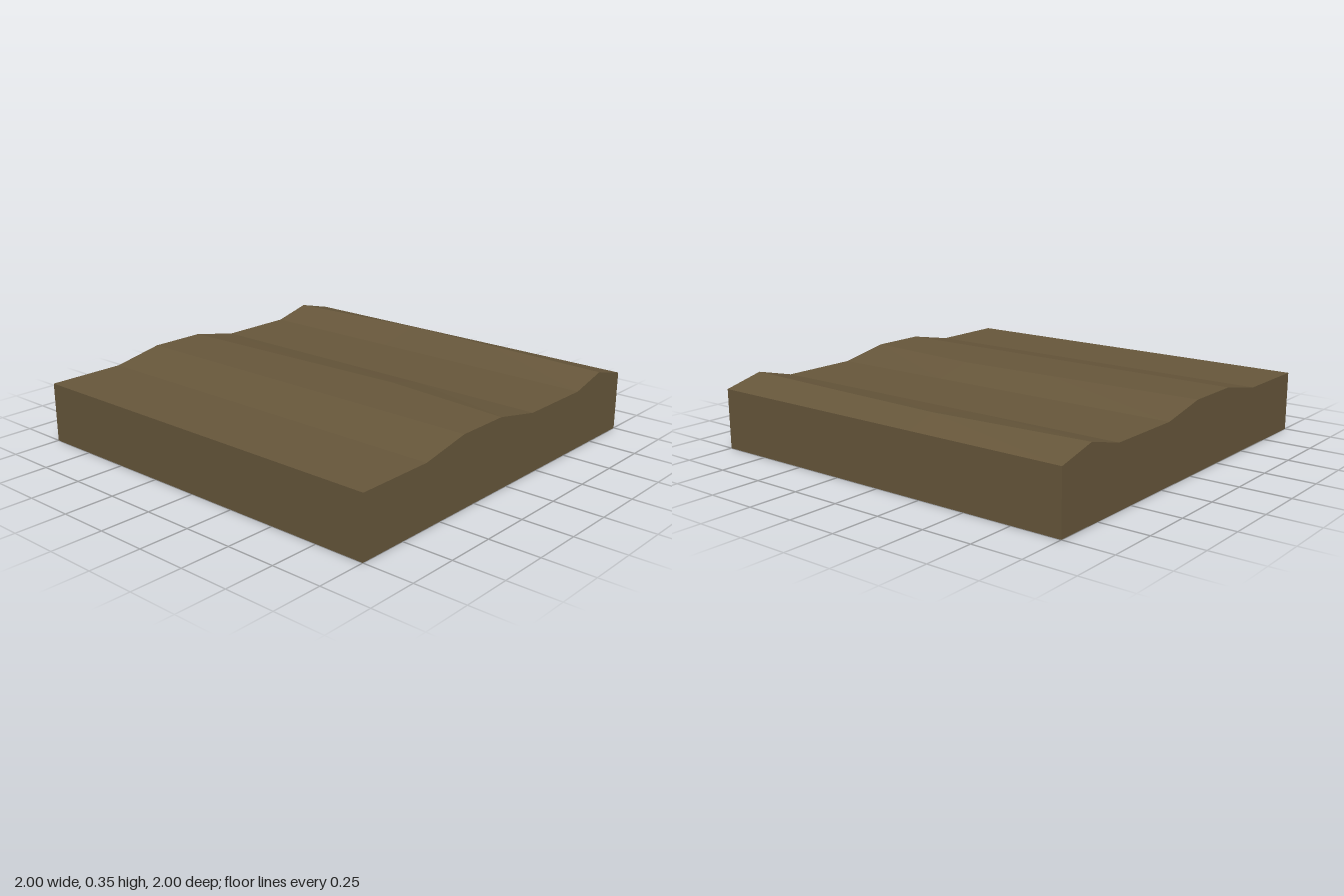
import * as THREE from 'three';

export function createModel() {
  const earth = new THREE.MeshStandardMaterial({ color: 0x67573b });
  earth.name = 'earth brown';

  // Cross-sections from back to front: z, right edge of the broad ridge, crest of the narrow ridge
  const rows = [[-1, -0.05, 0.8], [-0.2, -0.02, 0.85], [0.33, 0, 0.83], [1, -0.06, 0.8]];
  const sections = rows.map(([z, broad, narrow]) => [
    [-1, 0.3], [-0.6, 0.3], [-0.34, 0.35], [broad, 0.35],
    [0.2, 0.3], [0.6, 0.3], [narrow, 0.35], [1, 0.3],
  ].map(([x, y]) => new THREE.Vector3(x, y, z)));

  // Collects quads given counter-clockwise as seen from outside
  const makeMesh = (name, quads) => {
    const points = quads.flatMap(([a, b, c, d]) => [a, b, c, a, c, d]);
    const geometry = new THREE.BufferGeometry().setFromPoints(points);
    geometry.computeVertexNormals();
    const mesh = new THREE.Mesh(geometry, earth);
    mesh.name = name;
    return mesh;
  };
  const floor = (p) => new THREE.Vector3(p.x, 0, p.z);
  const wall = (a, b) => [floor(a), floor(b), b, a];

  // Undulating top surface
  const top = [];
  for (let r = 0; r < sections.length - 1; r++) {
    const back = sections[r], front = sections[r + 1];
    for (let i = 0; i < back.length - 1; i++) {
      top.push([front[i], front[i + 1], back[i + 1], back[i]]);
    }
  }

  // Vertical sides of the slab
  const back = sections[0], front = sections[sections.length - 1], last = front.length - 1;
  const sides = [wall(front[last], back[last]), wall(back[0], front[0])];
  for (let i = 0; i < last; i++) {
    sides.push(wall(front[i], front[i + 1]), wall(back[i + 1], back[i]));
  }

  // Flat underside
  const bottom = [[back[0], back[last], front[last], front[0]].map(floor)];

  const group = new THREE.Group();
  group.name = 'groundTile';
  group.add(makeMesh('groundSurface', top), makeMesh('slabSides', sides), makeMesh('underside', bottom));
  return group;
}
